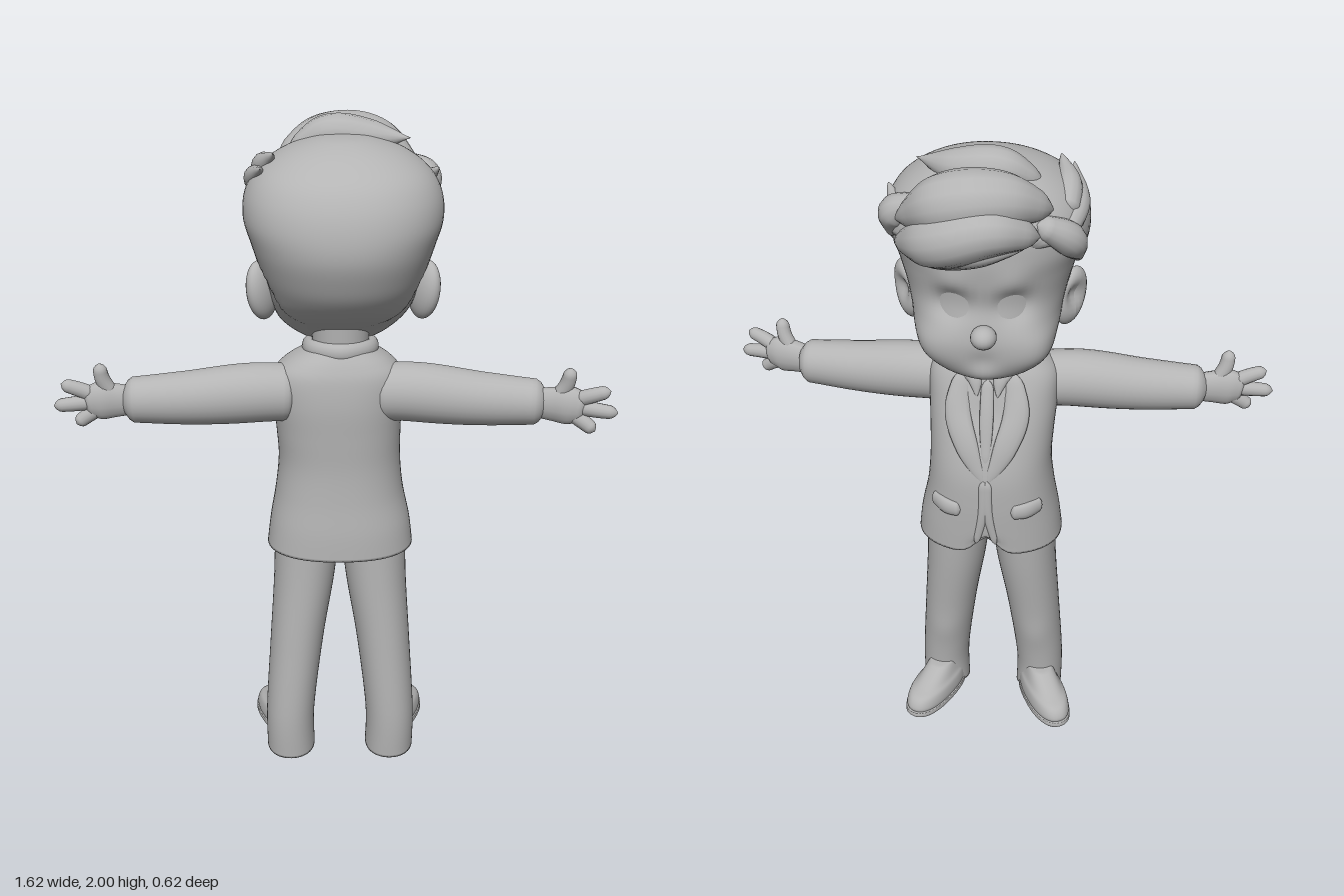
import * as THREE from 'three';
import { mergeVertices } from 'three/addons/utils/BufferGeometryUtils.js';

const clay = new THREE.MeshStandardMaterial({ color: 0xb4b4b4 });
clay.name = 'clay grey';
const MID = 0.02; // the body's own centre line in x

const smooth = (a, b, v) => THREE.MathUtils.smoothstep(v, a, b);

function mesh(name, geo, parent) {
  const m = new THREE.Mesh(geo, clay);
  m.name = name;
  parent.add(m);
  return m;
}

// Catmull-Rom blend of table rows
function rowAt(rows, t) {
  const n = rows.length - 1, i = Math.min(Math.floor(t * n), n - 1), f = t * n - i;
  const [a, b, c, d] = [-1, 0, 1, 2].map(k => rows[Math.min(Math.max(i + k, 0), n)]);
  return b.map((v, k) => v + 0.5 * f * (c[k] - a[k] + f * (2 * a[k] - 5 * v + 4 * c[k] - d[k]
    + f * (3 * (v - c[k]) + d[k] - a[k]))));
}

// Upright body from rows [y, centre x, z of face side, z of back side, half width]
function loft(rows, p = 2, steps = 40, n = 48) {
  const pos = [], idx = [];
  const sp = v => Math.sign(v) * Math.abs(v) ** (2 / p);
  for (let i = 0; i <= steps; i++) {
    const [y, cx, zf, zb, hw] = rowAt(rows, i / steps);
    for (let j = 0; j < n; j++) {
      const a = (j / n) * Math.PI * 2;
      pos.push(cx + hw * sp(Math.sin(a)), y, (zf + zb) / 2 + (zb - zf) / 2 * sp(Math.cos(a)));
      if (i < steps) {
        const q = i * n + j, r = i * n + (j + 1) % n;
        idx.push(q, r, r + n, q, r + n, q + n);
      }
    }
  }
  for (const [row, base, flip] of [[rows[0], 0, 1], [rows[rows.length - 1], steps * n, 0]]) {
    const c = pos.length / 3;
    pos.push(row[1], row[0], (row[2] + row[3]) / 2);
    for (let j = 0; j < n; j++) {
      const q = base + j, r = base + (j + 1) % n;
      idx.push(c, flip ? r : q, flip ? q : r);
    }
  }
  const g = new THREE.BufferGeometry();
  g.setAttribute('position', new THREE.Float32BufferAttribute(pos, 3));
  g.setIndex(idx);
  g.computeVertexNormals();
  return g;
}

// Move every vertex by a rule
function warp(g, rule) {
  const P = g.attributes.position, v = new THREE.Vector3();
  for (let i = 0; i < P.count; i++) {
    rule(v.fromBufferAttribute(P, i));
    P.setXYZ(i, v.x, v.y, v.z);
  }
  g.computeVertexNormals();
  return g;
}

// Soft push around a point: [x, y, z, radius, dx, dy, dz]
const bumps = (g, list) => warp(g, v => {
  for (const [x, y, z, r, dx, dy, dz] of list) {
    const k = Math.exp(-((v.x - x) ** 2 + (v.y - y) ** 2 + (v.z - z) ** 2) / (r * r));
    v.x += dx * k; v.y += dy * k; v.z += dz * k;
  }
});

// Rounded tapered strand; squash flattens it along the world axes
function strand(points, radii, squash = [1, 1, 1], seg = 28, sides = 14) {
  const curve = new THREE.CatmullRomCurve3(points.map(p => new THREE.Vector3(...p)));
  let g = new THREE.TubeGeometry(curve, seg, 1, sides);
  const P = g.attributes.position, s = new THREE.Vector3(...squash), v = new THREE.Vector3();
  for (let i = 0; i <= seg; i++) {
    const c = curve.getPointAt(i / seg), e = Math.min(i, seg - i);
    const r = rowAt(radii.map(q => [q]), i / seg)[0] * [0.03, 0.6, 0.88][e] || rowAt(radii.map(q => [q]), i / seg)[0] * (e ? 1 : 0.03);
    for (let j = 0; j <= sides; j++) {
      const k = i * (sides + 1) + j;
      v.fromBufferAttribute(P, k).sub(c).multiply(s).multiplyScalar(r).add(c);
      P.setXYZ(k, v.x, v.y, v.z);
    }
  }
  g.deleteAttribute('uv');
  g.deleteAttribute('normal');
  g = mergeVertices(g, 1e-5);
  g.computeVertexNormals();
  return g;
}

const headRows = [
  [1.35, 0.02, -0.13, -0.02, 0.06], [1.37, 0.02, -0.175, 0.03, 0.12], [1.42, 0.02, -0.2, 0.1, 0.175],
  [1.48, 0.025, -0.21, 0.185, 0.203], [1.54, 0.027, -0.207, 0.24, 0.215], [1.6, 0.027, -0.2, 0.272, 0.23],
  [1.67, 0.027, -0.207, 0.295, 0.25], [1.74, 0.027, -0.215, 0.295, 0.27], [1.81, 0.027, -0.21, 0.275, 0.265],
  [1.87, 0.027, -0.18, 0.235, 0.232], [1.92, 0.027, -0.13, 0.165, 0.165], [1.95, 0.027, -0.06, 0.09, 0.08],
  [1.957, 0.027, 0, 0.03, 0.02]];

const jacketRows = [
  [0.72, 0.02, -0.15, 0.18, 0.222], [0.8, 0.02, -0.155, 0.177, 0.212], [0.9, 0.018, -0.16, 0.168, 0.193],
  [1.0, 0.018, -0.158, 0.164, 0.183], [1.1, 0.015, -0.138, 0.168, 0.185], [1.2, 0.012, -0.108, 0.172, 0.19],
  [1.28, 0.012, -0.08, 0.165, 0.187], [1.325, 0.015, -0.062, 0.15, 0.15], [1.36, 0.02, -0.035, 0.13, 0.09]];

// z of the jacket's face side at x, y
function chestZ(x, y) {
  let i = 0;
  while (i < jacketRows.length - 2 && jacketRows[i + 1][0] < y) i++;
  const a = jacketRows[i], b = jacketRows[i + 1], f = (y - a[0]) / (b[0] - a[0]);
  const [, cx, zf, zb, hw] = a.map((v, k) => v + (b[k] - v) * f);
  const u = Math.min(Math.abs(x - cx) / hw, 1);
  return (zf + zb) / 2 - (zb - zf) / 2 * (1 - u ** 2.3) ** (1 / 2.3);
}
const onChest = pts => pts.map(([x, y]) => [x, y, chestZ(x, y)]);

function buildHead(root) {
  const head = new THREE.Group();
  head.name = 'head';
  root.add(head);
  const face = [];
  for (const s of [-1, 1]) face.push(
    [MID + s * 0.085, 1.6, -0.2, 0.05, 0, 0, 0.03],        // eye sockets
    [MID + s * 0.085, 1.67, -0.2, 0.05, 0, 0, -0.012],     // brows
    [MID + s * 0.13, 1.46, -0.15, 0.08, s * 0.02, 0, -0.018]); // cheeks
  face.push([MID, 1.43, -0.22, 0.035, 0, 0, 0.012], [MID, 1.385, -0.19, 0.05, 0, 0, -0.012]);
  mesh('face', bumps(loft(headRows, 2.15, 70, 72), face), head);

  // Hair cap swells out of the skull behind the hairline and sinks in before it
  mesh('hairCap', warp(loft(headRows, 2.15, 70, 72), v => {
    const edge = 0.11 - 0.13 * smooth(1.56, 1.72, v.y) - 0.2 * smooth(1.72, 1.8, v.y);
    const k = 1 + (-0.05 + 0.085 * smooth(edge - 0.02, edge + 0.02, v.z)) * smooth(1.36, 1.42, v.y);
    v.x = 0.027 + (v.x - 0.027) * k;
    v.z = 0.03 + (v.z - 0.03) * k;
  }), head);

  const nose = mesh('nose', new THREE.SphereGeometry(0.036, 20, 14), head);
  nose.position.set(0.015, 1.525, -0.222);
  nose.scale.set(1, 0.9, 1.05);
  mesh('neck', new THREE.CylinderGeometry(0.085, 0.08, 0.14, 28), head).position.set(MID, 1.37, 0.035);

  for (const s of [-1, 1]) {
    const ear = mesh(s < 0 ? 'rightEar' : 'leftEar', bumps(
      new THREE.SphereGeometry(1, 28, 20).scale(0.036, 0.088, 0.062),
      [[s * 0.036, 0.01, -0.012, 0.036, -s * 0.03, 0, 0]]), head);
    ear.position.set(0.027 + s * 0.232, 1.525, 0.04);
    ear.rotation.set(0.2, s * 0.5, -s * 0.18);
  }

  // Swept hair: path, radii
  const locks = [
    [[[-0.13, 1.9, -0.05], [-0.02, 1.945, -0.06], [0.1, 1.94, -0.05], [0.215, 1.945, -0.01]], [0.02, 0.055, 0.05, 0.005]],
    [[[-0.16, 1.86, -0.12], [-0.03, 1.905, -0.175], [0.1, 1.895, -0.185], [0.26, 1.82, -0.13]], [0.03, 0.078, 0.082, 0.02]],
    [[[-0.13, 1.81, -0.18], [0, 1.845, -0.235], [0.12, 1.81, -0.225], [0.265, 1.75, -0.12]], [0.03, 0.068, 0.07, 0.02]],
    [[[-0.1, 1.79, -0.2], [0.03, 1.785, -0.235], [0.14, 1.765, -0.2], [0.24, 1.73, -0.1]], [0.01, 0.04, 0.045, 0.02]],
    [[[0.2, 1.86, -0.12], [0.265, 1.82, -0.09], [0.28, 1.74, -0.07]], [0.03, 0.045, 0.01]],
    [[[0.22, 1.82, -0.1], [0.265, 1.83, -0.05], [0.295, 1.865, 0]], [0.03, 0.025, 0.005]],
    [[[-0.19, 1.83, -0.08], [-0.19, 1.88, 0.02], [-0.165, 1.925, 0.1]], [0.035, 0.036, 0.006]],
    [[[-0.19, 1.79, -0.12], [-0.215, 1.83, -0.02], [-0.2, 1.89, 0.13]], [0.03, 0.035, 0.006]],
    [[[-0.12, 1.84, -0.17], [-0.2, 1.78, -0.12], [-0.23, 1.68, -0.04]], [0.03, 0.045, 0.01]]];
  for (const [path, radii] of locks) mesh('hairLock', strand(path, radii), head);
}

function buildJacket(root) {
  const jacket = new THREE.Group();
  jacket.name = 'jacket';
  root.add(jacket);
  mesh('jacketBody', bumps(loft(jacketRows, 2.3, 50, 72), [
    [MID, 0.72, -0.16, 0.045, 0, 0.06, 0.01],   // hem notch
    [MID, 1.2, -0.13, 0.06, 0, 0, 0.012]]), jacket);

  // Stand-up collar around the neck
  mesh('collar', strand([[0.05, 1.28, -0.085], [0.105, 1.34, -0.02], [0.1, 1.355, 0.07], [MID, 1.36, 0.118],
    [-0.06, 1.355, 0.07], [-0.065, 1.34, -0.02], [-0.01, 1.28, -0.085]],
  [0.012, 0.026, 0.026, 0.026, 0.026, 0.026, 0.012], [0.8, 1.1, 0.8], 48), jacket);

  for (const s of [-1, 1]) {
    mesh('lapel', strand(onChest([[MID + s * 0.07, 1.32], [MID + s * 0.085, 1.2], [MID + s * 0.055, 1.1], [MID + s * 0.006, 0.99]]),
      [0.025, 0.038, 0.034, 0.012], [1, 1, 0.3]), jacket);
    mesh('shirtCollar', strand(onChest([[MID + s * 0.05, 1.335], [MID + s * 0.035, 1.29], [MID + s * 0.03, 1.25]]),
      [0.022, 0.02, 0.004], [1, 1, 0.5]), jacket);
    mesh('frontEdge', strand(onChest([[MID + s * 0.006, 1.0], [MID + s * 0.008, 0.88], [MID + s * 0.03, 0.76]]),
      [0.014, 0.014, 0.01], [1, 1, 0.5]), jacket);
    mesh('pocketFlap', strand(onChest([[MID + s * 0.075, 0.885], [MID + s * 0.12, 0.885], [MID + s * 0.165, 0.89]]),
      [0.024, 0.028, 0.024], [0.5, 1, 0.5]), jacket);
  }
  mesh('tie', strand(onChest([[MID, 1.3], [MID, 1.2], [MID, 1.05]]), [0.018, 0.02, 0.012], [1, 1, 0.3]), jacket);
}

// Arms differ only in how far they swing back in z
function buildArm(root, s, zCuff, zTip) {
  const arm = new THREE.Group();
  arm.name = s < 0 ? 'rightArm' : 'leftArm';
  root.add(arm);
  mesh('sleeve', strand([[s * 0.1, 1.225, 0.07], [s * 0.22, 1.228, 0.08], [s * 0.42, 1.215, (0.08 + zCuff) / 2], [s * 0.62, 1.21, zCuff]],
    [0.085, 0.088, 0.078, 0.066], [1, 1, 0.9], 40, 28), arm);
  const at = (x, y, k, dz = 0) => [s * x, y, zCuff + (zTip - zCuff) * k + dz];
  mesh('palm', strand([at(0.58, 1.21, 0), at(0.64, 1.212, 0.3), at(0.68, 1.212, 0.5), at(0.725, 1.205, 0.7)],
    [0.045, 0.052, 0.058, 0.04], [1, 1, 0.55]), arm);
  const fingers = [
    ['thumb', at(0.64, 1.23, 0.3), at(0.665, 1.28, 0.4, 0.005), at(0.672, 1.33, 0.5, 0.01)],
    ['finger', at(0.69, 1.23, 0.5), at(0.735, 1.25, 0.8), at(0.785, 1.268, 1)],
    ['finger', at(0.69, 1.21, 0.5), at(0.75, 1.205, 0.8), at(0.81, 1.2, 1)],
    ['finger', at(0.68, 1.19, 0.5), at(0.715, 1.168, 0.75), at(0.748, 1.143, 0.95)]];
  for (const [name, ...path] of fingers) mesh(name, strand(path, [0.023, 0.022, 0.019], [1, 1, 0.9], 16), arm);
}

function buildLeg(root, s) {
  const leg = new THREE.Group();
  leg.name = s < 0 ? 'rightLeg' : 'leftLeg';
  root.add(leg);
  const x = d => MID + s * d;
  mesh('trouserLeg', bumps(loft([
    [0, x(0.158), -0.02, 0.158, 0.076], [0.15, x(0.158), -0.025, 0.163, 0.076], [0.4, x(0.135), -0.058, 0.153, 0.083],
    [0.6, x(0.112), -0.085, 0.145, 0.093], [0.76, x(0.1), -0.1, 0.14, 0.1]], 2.1),
  [[x(0.158), 0, -0.04, 0.1, 0, 0.06, 0], [x(0.15), 0.3, -0.06, 0.06, 0, 0, -0.005]]), leg);

  // Shoe toes point outwards
  const shoe = new THREE.Group();
  shoe.name = 'shoe';
  shoe.position.set(x(0.165), 0, 0);
  shoe.rotation.y = -s * 0.45;
  leg.add(shoe);
  mesh('upper', loft([[0.03, 0, -0.175, 0.1, 0.06], [0.05, 0, -0.182, 0.1, 0.064], [0.08, 0, -0.165, 0.1, 0.06],
    [0.1, 0, -0.12, 0.1, 0.05], [0.14, 0, -0.04, 0.09, 0.04]], 2.3, 20), shoe);
  mesh('sole', loft([[0.015, 0, -0.18, 0.1, 0.062], [0.025, 0, -0.188, 0.105, 0.067], [0.04, 0, -0.186, 0.104, 0.066]], 2.3, 6), shoe);
}

export function createModel() {
  const root = new THREE.Group();
  root.name = 'boyInSuit';
  buildHead(root);
  buildJacket(root);
  buildArm(root, -1, 0.09, 0.108);
  buildArm(root, 1, 0.128, 0.19);
  for (const s of [-1, 1]) buildLeg(root, s);
  return root;
}
